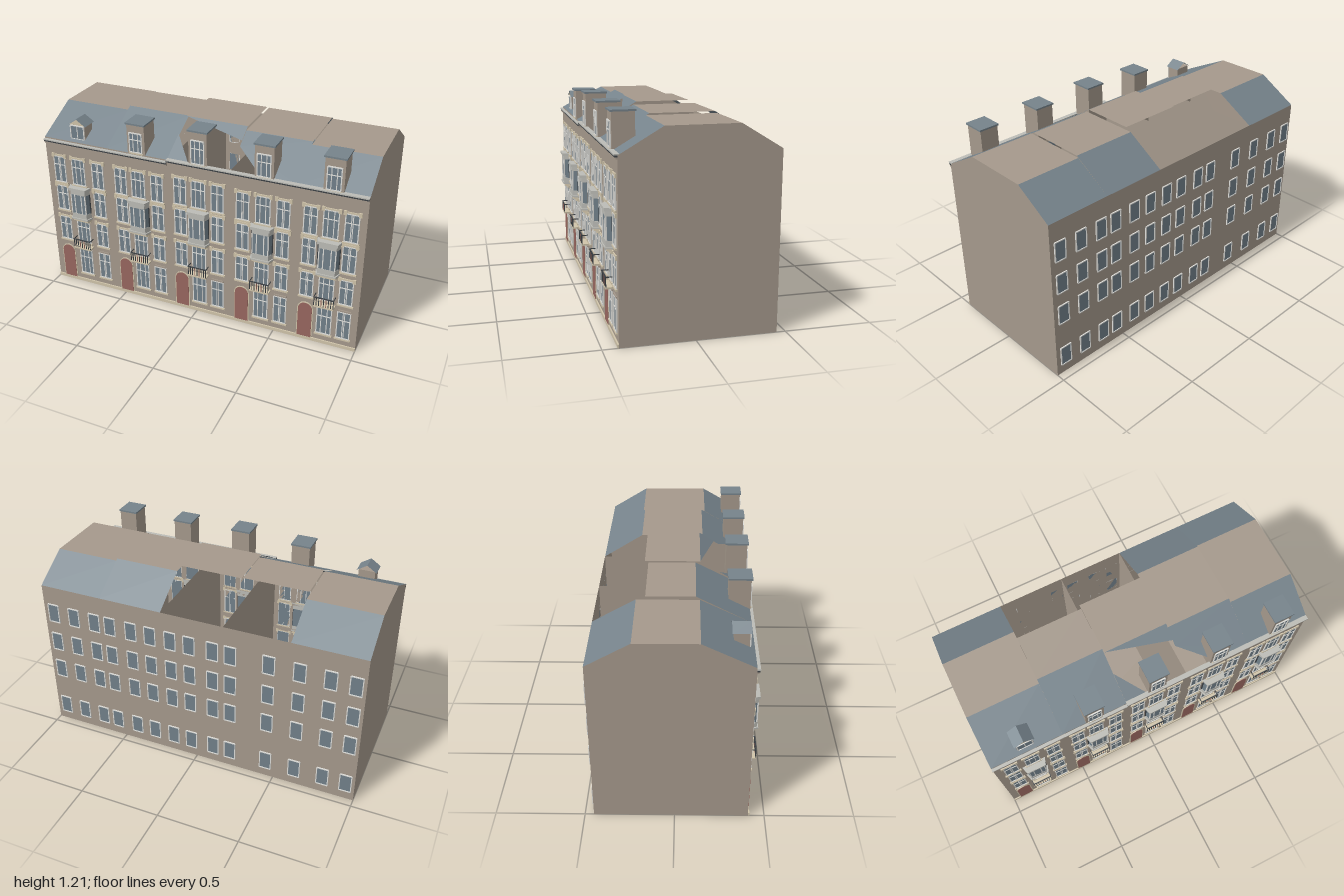
import * as THREE from 'three';

const mat = (name, color, side = THREE.FrontSide) => {
  const m = new THREE.MeshStandardMaterial({ color, side });
  m.name = name;
  return m;
};

export function createModel() {
  const root = new THREE.Group();
  root.name = 'terraceHouses';
  const D = THREE.DoubleSide;
  const wall = mat('wall stone', 0xa5998c, D), slate = mat('roof slate', 0x76838b, D);
  const glass = mat('window glass', 0x71808a), white = mat('white paint', 0xdededa);
  const cream = mat('cream stone', 0xd0c4aa), red = mat('door red', 0x98675f);
  const dark = mat('dark iron', 0x3c4145), grey = mat('bay grey', 0xbcbcb6);
  const FRONT = 0.41, BACK = -0.45;

  const add = (name, geo, m, parent = root) => {
    const mesh = new THREE.Mesh(geo, m);
    mesh.name = name;
    parent.add(mesh);
    return mesh;
  };
  const group = (name, parent = root) => {
    const g = new THREE.Group();
    g.name = name;
    parent.add(g);
    return g;
  };
  // Box given by its limits
  const box = (name, x0, x1, y0, y1, z0, z1, m, parent) => {
    const b = add(name, new THREE.BoxGeometry(x1 - x0, y1 - y0, z1 - z0), m, parent);
    b.position.set((x0 + x1) / 2, (y0 + y1) / 2, (z0 + z1) / 2);
    return b;
  };
  // Flat convex face through corner points
  const face = (name, pts, m, parent) => {
    const g = new THREE.BufferGeometry().setFromPoints(pts.map(p => new THREE.Vector3(...p)));
    const idx = [];
    for (let i = 1; i < pts.length - 1; i++) idx.push(0, i, i + 1);
    g.setIndex(idx);
    g.computeVertexNormals();
    return add(name, g, m, parent);
  };
  // Upright prism from an [x, z] plan
  const prism = (name, plan, y0, y1, m, parent) => {
    const s = new THREE.Shape(plan.map(([x, z]) => new THREE.Vector2(x, -z)));
    const g = new THREE.ExtrudeGeometry(s, { depth: y1 - y0, bevelEnabled: false });
    g.rotateX(-Math.PI / 2);
    g.translate(0, y0, 0);
    return add(name, g, m, parent);
  };
  // Framed window on a plane at z; dir is +1 for the front, -1 for the back
  const windowAt = (x, y0, y1, w, z, dir, parent, mullions, transom) => {
    const g = group('window', parent), h = y1 - y0, f = 0.006;
    g.position.set(x, y0, z);
    if (dir < 0) g.rotation.y = Math.PI;
    box('pane', -w / 2, w / 2, 0, h, 0, 0.003, glass, g);
    for (const s of [-1, 1]) box('jamb', s * (w / 2) - f / 2, s * (w / 2) + f / 2, 0, h, 0, 0.007, white, g);
    for (const y of [0, h]) box('rail', -w / 2, w / 2, y - f / 2, y + f / 2, 0, 0.007, white, g);
    for (const mx of mullions) box('mullion', mx * w - 0.0025, mx * w + 0.0025, 0, h, 0, 0.006, white, g);
    if (transom) box('transom', -w / 2, w / 2, h * transom - 0.0025, h * transom + 0.0025, 0, 0.006, white, g);
  };
  const archGeo = (w, h, depth) => {
    const s = new THREE.Shape();
    s.moveTo(-w / 2, 0);
    s.lineTo(w / 2, 0);
    s.lineTo(w / 2, h - w / 2);
    s.absarc(0, h - w / 2, w / 2, 0, Math.PI, false);
    return new THREE.ExtrudeGeometry(s, { depth, bevelEnabled: false, curveSegments: 10 });
  };

  // x0, x1: plot; top, zf, zb: flat roof; cols: window axes; dormer: dormer top; lift: storey shift
  const houses = [
    { x0: -1, x1: -0.57, top: 1.138, zf: 0.13, zb: -0.21, eave: 0.98, cols: [-0.91, -0.78, -0.645], lift: 0 },
    { x0: -0.57, x1: -0.175, top: 1.157, zf: 0.11, zb: -0.16, eave: 0.98, cols: [-0.487, -0.37, -0.246], dormer: 1.19, lift: 0 },
    { x0: -0.175, x1: 0.21, top: 1.165, zf: 0.137, zb: -0.18, eave: 0.995, cols: [-0.096, 0.02, 0.139], dormer: 1.213, lift: 0.015 },
    { x0: 0.21, x1: 0.605, top: 1.147, zf: 0.155, zb: -0.215, eave: 0.995, cols: [0.294, 0.415, 0.535], dormer: 1.205, lift: 0.003 },
    { x0: 0.605, x1: 1, top: 1.137, zf: 0.175, zb: -0.225, eave: 0.995, cols: [0.69, 0.805, 0.92], dormer: 1.205, lift: 0.003 },
  ];

  // Hollow shell: floor, long walls, gable ends
  face('floor', [[-1, 0, FRONT], [1, 0, FRONT], [1, 0, BACK], [-1, 0, BACK]], wall);
  face('frontWall', [[-1, 0, FRONT], [1, 0, FRONT], [1, 1, FRONT], [-1, 1, FRONT]], wall);
  face('backWall', [[1, 0, BACK], [-1, 0, BACK], [-1, 1, BACK], [1, 1, BACK]], wall);
  for (const [x, h] of [[-1, houses[0]], [1, houses[4]]]) {
    const pts = [[x, 0, FRONT], [x, 0, BACK], [x, 1, BACK], [x, h.top, h.zb], [x, h.top, h.zf], [x, 1, FRONT]];
    face('gableEnd', x > 0 ? pts : pts.reverse(), wall);
  }
  for (const h of houses.slice(1))
    face('partyWall', [[h.x0, 0, FRONT], [h.x0, 0, BACK], [h.x0, 1, BACK], [h.x0, 1, FRONT]], wall);

  houses.forEach((h, i) => {
    const g = group('house' + (i + 1)), { x0, x1, top, zf, zb, cols, lift } = h;
    // Roof: flat top, front slope (partly open on the middle plots), back slope
    face('flatRoof', [[x0, top, zf], [x1, top, zf], [x1, top, zb], [x0, top, zb]], wall, g);
    const on = (x, z) => [x, 1 + (FRONT - z) / (FRONT - zf) * (top - 1), z];
    const slopes = [[[x0, FRONT], [x1, FRONT], [x1, zf], [x0, zf]]];
    if (i === 2) slopes.splice(0, 1, [[x0, zf], [x1, 0.225], [x1, zf]], [[x0, FRONT], [-0.04, FRONT], [x0, 0.25]]);
    if (i === 3) slopes[0] = [[x0, 0.255], [0.4, FRONT], [x1, FRONT], [x1, zf], [x0, zf]];
    for (const s of slopes) face('frontSlope', s.map(p => on(...p)), slate, g);
    if (i !== 1 && i !== 2)
      face('backSlope', [[x1, 1, BACK], [x0, 1, BACK], [x0, top, zb], [x1, top, zb]], slate, g);

    // Cornice and plinth
    const e = h.eave;
    box('frieze', x0, x1, e - 0.014, e - 0.004, FRONT, 0.42, wall, g);
    box('gutter', x0, x1, e - 0.004, e + 0.005, FRONT - 0.005, 0.425, dark, g);
    box('cornice', x0, x1, e + 0.005, e + 0.012, FRONT - 0.01, 0.428, grey, g);
    box('plinth', x0, x1, 0, 0.02, FRONT, 0.418, cream, g);

    // Front windows with sills and lintels
    const storeys = [[0.07, 0.25], [0.305, 0.465], [0.52, 0.685], [0.715, 0.885]];
    storeys.forEach(([a, b], s) => cols.forEach((x, c) => {
      if ((s === 0 && c === 0) || (s === 2 && c === 1)) return;
      const w = c === 1 ? 0.085 : 0.075, y0 = a + lift * s / 3, y1 = b + lift * s / 3;
      windowAt(x, y0, y1, w, FRONT, 1, g, c === 1 ? [-0.2, 0.2] : [-0.06, 0.06], 0.68);
      box('sill', x - w / 2 - 0.01, x + w / 2 + 0.01, y0 - 0.013, y0 - 0.003, FRONT, 0.42, cream, g);
      box('lintel', x - w / 2, x + w / 2, y1 + 0.003, y1 + 0.013, FRONT, 0.416, s ? cream : wall, g);
      if (s) for (const k of [-1, 1]) {
        const bx = x + k * (w / 2 + 0.004);
        box('lintelBlock', bx - 0.009, bx + 0.009, y1 - 0.008, y1 + 0.018, FRONT, 0.418, cream, g);
      }
    }));

    // Arched door
    add('doorSurround', archGeo(0.096, 0.245, 0.005), cream, g).position.set(cols[0], 0.015, FRONT);
    add('door', archGeo(0.084, 0.24, 0.007), red, g).position.set(cols[0], 0.015, FRONT);

    // Bay window on the second storey
    const bay = group('bayWindow', g), c = cols[1];
    bay.position.set(c, lift * 0.6, 0);
    const plan = (wb, wf, z) => [[-wb, FRONT], [-wf, z], [wf, z], [wb, FRONT]];
    prism('corbel', plan(0.055, 0.045, 0.425), 0.458, 0.472, cream, bay);
    prism('corbelTop', plan(0.064, 0.052, 0.44), 0.472, 0.487, cream, bay);
    prism('bayBase', plan(0.07, 0.057, 0.453), 0.487, 0.497, grey, bay);
    prism('bayApron', plan(0.064, 0.05, 0.447), 0.497, 0.53, grey, bay);
    prism('bayGlass', plan(0.062, 0.048, 0.445), 0.53, 0.66, glass, bay);
    prism('bayHead', plan(0.064, 0.05, 0.447), 0.66, 0.688, grey, bay);
    prism('bayCap', plan(0.072, 0.058, 0.455), 0.688, 0.705, grey, bay);
    for (const x of [-0.048, -0.022, 0.022, 0.048])
      box('bayPost', x - 0.003, x + 0.003, 0.53, 0.66, 0.44, 0.448, white, bay);
    for (const k of [-1, 1]) box('baySidePost', k * 0.062 - 0.003, k * 0.062 + 0.003, 0.53, 0.66, FRONT, 0.416, dark, bay);

    // Balcony on the first storey
    const bal = group('balcony', g);
    bal.position.x = c;
    box('balconySlab', -0.06, 0.06, 0.272, 0.282, FRONT, 0.453, cream, bal);
    for (let k = -4; k <= 4; k++) {
      const x = k * 0.0142;
      box('baluster', x - 0.002, x + 0.002, 0.282, 0.335, 0.448, 0.452, Math.abs(k) < 3 && k % 2 ? red : dark, bal);
    }
    box('handrail', -0.06, 0.06, 0.335, 0.34, 0.447, 0.453, dark, bal);
    for (const k of [-1, 1]) box('sideRail', k * 0.058 - 0.002, k * 0.058 + 0.002, 0.335, 0.34, FRONT, 0.45, dark, bal);

    // Dormer: box with slab cap, or a small gabled one on the first plot
    const dormer = group('dormer', g);
    dormer.position.x = c;
    if (h.dormer) {
      const t = h.dormer;
      box('dormerBody', -0.056, 0.056, 1.0, t - 0.01, 0.29, 0.412, wall, dormer);
      box('dormerCap', -0.062, 0.062, t - 0.01, t, 0.285, 0.42, slate, dormer);
      windowAt(0, 1.012, t - 0.06, 0.078, 0.412, 1, dormer, [-0.2, 0.2], 0.65);
      box('dormerSill', -0.045, 0.045, 1.0, 1.009, 0.41, 0.42, cream, dormer);
    } else {
      box('dormerBody', -0.05, 0.05, 1.005, 1.1, 0.3, 0.382, wall, dormer);
      windowAt(0, 1.01, 1.095, 0.09, 0.382, 1, dormer, [0], 0);
      face('pediment', [[-0.052, 1.1, 0.385], [0.052, 1.1, 0.385], [0, 1.135, 0.385]], cream, dormer);
      for (const k of [-1, 1])
        face('dormerSlope', [[0, 1.138, 0.39], [k * 0.06, 1.098, 0.39], [k * 0.06, 1.098, 0.29], [0, 1.138, 0.29]], slate, dormer);
    }
  });

  // Rear windows
  const rear = group('rearWindows');
  for (const x of [0.935, 0.795, 0.655, 0.55, 0.41, 0.285, 0.155, 0.035, -0.11, -0.22, -0.45, -0.63, -0.805, -0.945])
    for (const y of [0.12, 0.41, 0.615, 0.82])
      windowAt(x, y - 0.06, y + 0.06, 0.07, BACK, -1, rear, [], 0);
  return root;
}
